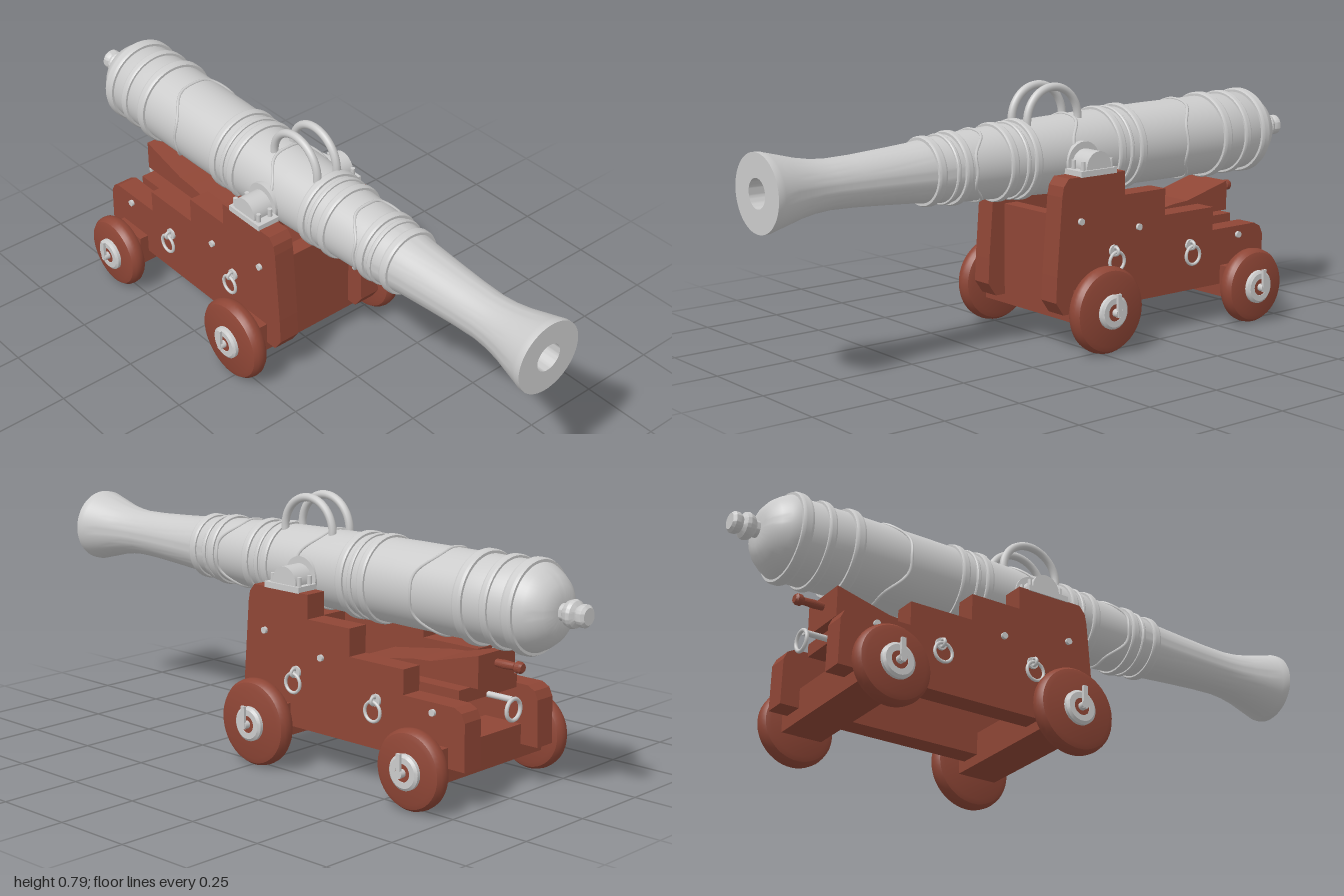
import * as THREE from 'three';
import { toCreasedNormals } from 'three/addons/utils/BufferGeometryUtils.js';

const iron = new THREE.MeshStandardMaterial({ color: 0xcccccc });
const wood = new THREE.MeshStandardMaterial({ color: 0x8f4636 });
const AXIS_Y = 0.566; // height of the bore axis

export function createModel() {
  const root = new THREE.Group();
  root.name = 'cannon';

  const add = (name, geo, mat, x = 0, y = 0, z = 0, parent = root) => {
    const m = new THREE.Mesh(geo, mat);
    m.name = name;
    m.position.set(x, y, z);
    parent.add(m);
    return m;
  };
  const lathe = (pts, seg = 48) => toCreasedNormals(
    new THREE.LatheGeometry(pts.map(p => new THREE.Vector2(p[0], p[1])), seg), 0.6);
  const box = (w, h, d) => new THREE.BoxGeometry(w, h, d);
  const cylX = (r, l, r2 = r) => new THREE.CylinderGeometry(r2, r, l, 24).rotateZ(-Math.PI / 2);
  const cylZ = (r, l, r2 = r) => new THREE.CylinderGeometry(r2, r, l, 28).rotateX(Math.PI / 2);
  const extrude = (pts, depth) => new THREE.ExtrudeGeometry(
    new THREE.Shape(pts.map(p => new THREE.Vector2(p[0], p[1]))), { depth, bevelEnabled: false });

  // ---- Barrel: radius against position along the axis
  const body = [[0.125, -0.84], [0.126, -0.65], [0.125, -0.4], [0.122, -0.2], [0.117, 0],
    [0.111, 0.15], [0.103, 0.32], [0.095, 0.43], [0.087, 0.5], [0.08, 0.6], [0.074, 0.7],
    [0.072, 0.78], [0.076, 0.83], [0.085, 0.88], [0.097, 0.925], [0.11, 0.975]];
  const radiusAt = x => {
    const i = Math.max(1, body.findIndex(p => p[1] >= x));
    const [a, b] = [body[i - 1], body[i]];
    return a[0] + (b[0] - a[0]) * (x - a[1]) / (b[1] - a[1]);
  };
  const barrel = new THREE.Group();
  barrel.name = 'barrel';
  barrel.position.y = AXIS_Y;
  root.add(barrel);
  add('barrelBody', lathe([
    [0, -1], [0.024, -1], [0.032, -0.992], [0.032, -0.978], [0.026, -0.968],
    [0.038, -0.96], [0.041, -0.95], [0.036, -0.935], [0.025, -0.926], [0.025, -0.915],
    [0.05, -0.914], [0.075, -0.903], [0.097, -0.885], [0.114, -0.862],
    ...body, [0.113, 0.985], [0.113, 1], [0.043, 1], [0.043, 0.6], [0, 0.57],
  ], 64).rotateZ(-Math.PI / 2), iron, 0, 0, 0, barrel);

  // Raised bands: position, width, height
  for (const [x, w, h] of [[-0.82, 0.035, 0.012], [-0.74, 0.025, 0.01], [-0.65, 0.032, 0.012],
    [-0.29, 0.026, 0.01], [-0.245, 0.014, 0.007], [-0.205, 0.026, 0.01],
    [0.115, 0.026, 0.01], [0.15, 0.014, 0.007], [0.2, 0.026, 0.01],
    [0.36, 0.026, 0.01], [0.395, 0.014, 0.007], [0.45, 0.028, 0.01]]) {
    const r = radiusAt(x);
    add('barrelBand', lathe([[r - 0.006, -w / 2], [r + h * 0.65, -w / 2], [r + h, -w / 4],
      [r + h, w / 4], [r + h * 0.65, w / 2], [r - 0.006, w / 2]], 64)
      .rotateZ(-Math.PI / 2), iron, x, 0, 0, barrel);
  }

  // Thin wavy mouldings around the barrel
  for (const x0 of [-0.505, -0.05, 0.305]) {
    const pts = [];
    for (let i = 0; i < 48; i++) {
      const t = i / 48 * Math.PI * 2;
      const x = x0 - 0.033 * Math.cos(2 * t) + 0.006 * Math.cos(6 * t);
      const r = radiusAt(x) + 0.001;
      pts.push(new THREE.Vector3(x, r * Math.cos(t), r * Math.sin(t)));
    }
    add('wavyMoulding', new THREE.TubeGeometry(
      new THREE.CatmullRomCurve3(pts, true), 96, 0.005, 6, true), iron, 0, 0, 0, barrel);
  }

  // Lifting handles, trunnions and their shoulders
  for (const s of [-1, 1]) {
    add('liftingHandle', new THREE.TorusGeometry(0.098, 0.0125, 12, 32, Math.PI),
      iron, 0, 0.113, s * 0.037, barrel);
    for (const x of [-0.098, 0.098])
      add('handleFoot', new THREE.CylinderGeometry(0.0125, 0.0125, 0.035, 12),
        iron, x, 0.097, s * 0.037, barrel);
    add('trunnion', cylZ(0.047, 0.11), iron, -0.05, AXIS_Y - 0.016 - AXIS_Y, s * 0.138, barrel);
    add('trunnionShoulder', cylZ(0.062, 0.05), iron, -0.05, -0.01, s * 0.1, barrel);
  }

  // ---- Carriage
  const carriage = new THREE.Group();
  carriage.name = 'carriage';
  root.add(carriage);
  const cheek = [[-0.745, 0.12], [0.09, 0.12], [0.118, 0.16], [0.114, 0.24], [0.095, 0.475],
    [0.089, 0.505], [0.07, 0.528], [-0.15, 0.528], [-0.15, 0.455], [-0.315, 0.455],
    [-0.315, 0.372], [-0.52, 0.372], [-0.52, 0.298], [-0.705, 0.298], [-0.73, 0.285], [-0.742, 0.26]];
  const ringBolt = (x, y, z, s) => {
    const g = new THREE.Group();
    g.name = 'ringBolt';
    g.position.set(x, y, z);
    carriage.add(g);
    add('boltPlate', cylZ(0.018, 0.008), iron, 0, 0.025, 0, g);
    add('boltEye', new THREE.TorusGeometry(0.011, 0.005, 8, 16).rotateY(Math.PI / 2),
      iron, 0, 0.025, s * 0.01, g);
    add('hangingRing', new THREE.TorusGeometry(0.029, 0.005, 8, 28), iron, 0, -0.006, s * 0.014, g);
  };
  for (const s of [-1, 1]) {
    add('cheek', extrude(cheek, 0.069), wood, 0, 0, s > 0 ? 0.128 : -0.197, carriage);
    // Trunnion plate and its bolts
    add('trunnionPlate', box(0.14, 0.018, 0.076), iron, -0.045, 0.535, s * 0.162, carriage);
    for (const x of [-0.103, 0.005]) for (const z of [0.141, 0.184])
      add('plateBolt', new THREE.CylinderGeometry(0.007, 0.007, 0.03, 10),
        iron, x, 0.555, s * z, carriage);
    // Side bolts and hanging rings
    for (const [x, y] of [[0.025, 0.395], [-0.205, 0.35], [-0.63, 0.27]])
      add('sideBolt', cylZ(0.01, 0.012), iron, x, y, s * 0.2, carriage);
    ringBolt(-0.42, 0.24, s * 0.2, s);
    ringBolt(-0.105, 0.265, s * 0.2, s);
  }

  // Front cross board, bed and axle beams
  add('frontTransom', box(0.05, 0.285, 0.26), wood, 0.03, 0.2625, 0, carriage);
  add('stoolBed', box(0.46, 0.04, 0.258), wood, -0.435, 0.305, 0, carriage);
  add('frontAxleBeam', box(0.13, 0.1, 0.455), wood, -0.013, 0.14, 0, carriage);
  add('rearAxleBeam', box(0.13, 0.1, 0.455), wood, -0.62, 0.13, 0, carriage);

  // Elevating wedge with its turned handle
  add('elevatingWedge', extrude([[-0.693, 0.325], [-0.25, 0.325], [-0.25, 0.34], [-0.46, 0.371],
    [-0.52, 0.375], [-0.693, 0.42]], 0.164), wood, 0, 0, -0.082, carriage);
  add('wedgeHandle', lathe([[0, -0.785], [0.012, -0.785], [0.017, -0.778], [0.017, -0.765],
    [0.011, -0.757], [0.013, -0.72], [0.011, -0.685]], 20).rotateZ(-Math.PI / 2),
    wood, 0, 0.386, 0, carriage);

  // Towing ring at the rear
  add('towingBolt', cylX(0.009, 0.1), iron, -0.7, 0.29, 0, carriage);
  add('towingRing', new THREE.TorusGeometry(0.031, 0.006, 8, 28).rotateY(Math.PI / 2),
    iron, -0.755, 0.262, 0, carriage);

  // ---- Wheels with hub washers and linchpins
  for (const [x, y, r] of [[-0.013, 0.135, 0.132], [-0.62, 0.12, 0.118]]) {
    for (const s of [-1, 1]) {
      const g = new THREE.Group();
      g.name = 'wheelAssembly';
      g.position.set(x, y, 0);
      if (s < 0) g.scale.z = -1;
      carriage.add(g);
      add('wheel', lathe([[0, 0.24], [r - 0.025, 0.24], [r - 0.01, 0.245], [r - 0.002, 0.256],
        [r, 0.269], [r - 0.002, 0.282], [r - 0.01, 0.293], [r - 0.025, 0.298], [0, 0.298]])
        .rotateX(Math.PI / 2), wood, 0, 0, 0, g);
      add('axleArm', cylZ(0.035, 0.1), wood, 0, 0, 0.215, g);
      add('hubWasher', lathe([[0.026, 0.295], [0.052, 0.295], [0.052, 0.308], [0.044, 0.314],
        [0.026, 0.314], [0.026, 0.295]], 32).rotateX(Math.PI / 2), iron, 0, 0, 0, g);
      add('axleEnd', cylZ(0.026, 0.02), wood, 0, 0, 0.302, g);
      add('axleNub', cylZ(0.012, 0.03), iron, 0, 0, 0.316, g);
      add('linchpin', box(0.014, 0.07, 0.009), iron, 0, 0.024, 0.328, g);
    }
  }
  return root;
}
